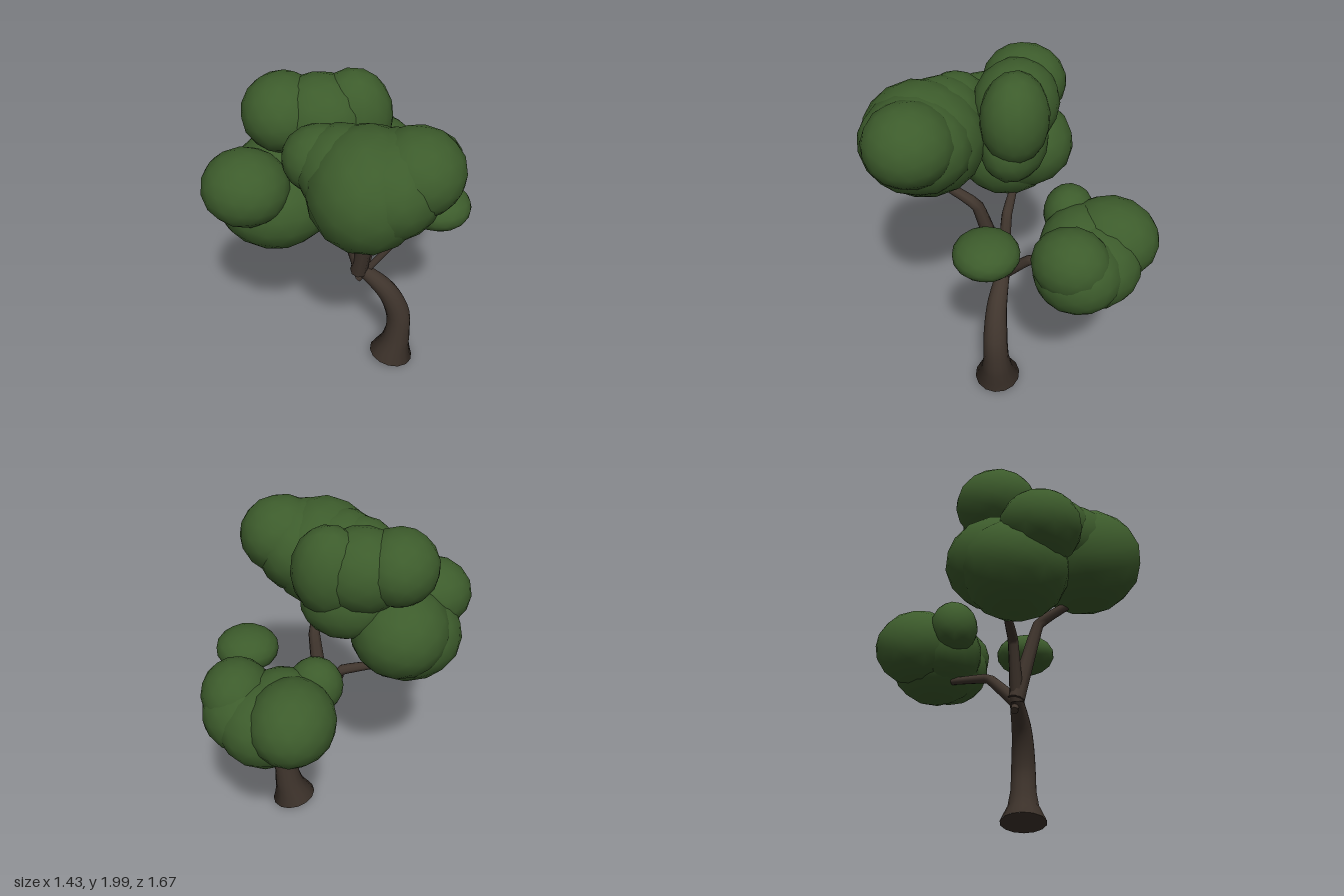
import * as THREE from 'three';

const bark = new THREE.MeshStandardMaterial({ color: 0x41362e });
bark.name = 'bark';
const leaf = new THREE.MeshStandardMaterial({ color: 0x3d5c2c });
leaf.name = 'leaf green';

// Tapered limb: a tube whose rings are rescaled along its length
function limb(name, points, radii, segments, sides, tension) {
  const curve = new THREE.CatmullRomCurve3(
    points.map((p) => new THREE.Vector3(...p)), false, 'catmullrom', tension);
  const geo = new THREE.TubeGeometry(curve, segments, 1, sides, false);
  const pos = geo.attributes.position;
  const v = new THREE.Vector3();
  for (let i = 0; i <= segments; i++) {
    const u = i / segments;
    const centre = curve.getPointAt(u);
    const f = u * (radii.length - 1);
    const k = Math.min(Math.floor(f), radii.length - 2);
    const r = THREE.MathUtils.lerp(radii[k], radii[k + 1], f - k);
    for (let j = 0; j <= sides; j++) {
      const n = i * (sides + 1) + j;
      v.fromBufferAttribute(pos, n).sub(centre).multiplyScalar(r).add(centre);
      pos.setXYZ(n, v.x, v.y, v.z);
    }
  }
  const group = new THREE.Group();
  group.name = name;
  group.add(new THREE.Mesh(geo, bark));
  // End caps
  for (const [u, sign] of [[0, -1], [1, 1]]) {
    const r = u ? radii[radii.length - 1] : radii[0];
    const cap = new THREE.Mesh(new THREE.CircleGeometry(r, sides), bark);
    cap.name = name + 'Cap';
    cap.position.copy(curve.getPointAt(u));
    cap.quaternion.setFromUnitVectors(
      new THREE.Vector3(0, 0, 1), curve.getTangentAt(u).multiplyScalar(sign));
    group.add(cap);
  }
  return group;
}

// Leaf clump: a faceted ball, turned for variety and then stretched
function clump(name, [x, y, z, rx, ry, rz], index) {
  const geo = new THREE.IcosahedronGeometry(1.02, 2);
  geo.rotateX(index * 1.3);
  geo.rotateY(index * 0.9);
  geo.scale(rx, ry, rz);
  const mesh = new THREE.Mesh(geo, leaf);
  mesh.name = name;
  mesh.position.set(x, y, z);
  return mesh;
}

export function createModel() {
  const tree = new THREE.Group();
  tree.name = 'tree';

  // Curved trunk with a flared, slanted foot
  tree.add(limb('trunk',
    [[0.294, 0.04, 0.045], [0.327, 0.2, 0.038], [0.327, 0.38, 0.04], [0.25, 0.57, 0.055], [0.09, 0.735, 0.065]],
    [0.137, 0.093, 0.077, 0.074, 0.071, 0.065, 0.058, 0.048, 0.037], 16, 14, 0.5));

  // Branches, each with one elbow
  const branches = {
    frontBranch: [[[0.085, 0.71, 0.07], [0.172, 1.22, 0.19], [0.185, 1.37, 0.46]], [0.052, 0.046, 0.04, 0.03, 0.025]],
    leftmostBranch: [[[0.1, 0.7, 0.07], [-0.01, 1.05, 0.08], [-0.3, 1.12, 0.12]], [0.045, 0.035, 0.03, 0.02]],
    backBranch: [[[0.1, 0.7, 0.065], [0.15, 0.89, -0.12], [0.17, 0.91, -0.36]], [0.04, 0.034, 0.028, 0.022]],
    sideBranch: [[[0.08, 0.64, 0.06], [0.3, 0.93, 0.03], [0.56, 1.1, 0]], [0.024, 0.021, 0.018, 0.012]],
  };
  for (const [name, [points, radii]] of Object.entries(branches)) {
    tree.add(limb(name, points, radii, 16, 8, 0.1));
  }

  // Foliage clumps: centre x, y, z then radii x, y, z
  const foliage = {
    frontFoliage: [
      [0.18, 1.605, 0.49, 0.31, 0.32, 0.34],
      [0.3, 1.64, 0.48, 0.27, 0.27, 0.31],
      [0.42, 1.71, 0.46, 0.245, 0.225, 0.245],
      [0.05, 1.67, 0.43, 0.24, 0.23, 0.24],
      [-0.07, 1.7, 0.4, 0.2, 0.18, 0.18],
    ],
    crownFoliage: [
      [-0.33, 1.77, 0.08, 0.22, 0.21, 0.235],
      [-0.13, 1.74, 0.06, 0.26, 0.24, 0.235],
      [0.04, 1.74, 0.01, 0.21, 0.26, 0.185],
      [-0.04, 1.54, 0.04, 0.25, 0.21, 0.18],
    ],
    lowerFoliage: [
      [-0.48, 1.47, 0.38, 0.235, 0.205, 0.225],
      [-0.35, 1.36, 0.1, 0.28, 0.26, 0.3],
      [-0.37, 1.29, 0.2, 0.32, 0.27, 0.3],
    ],
    backFoliage: [
      [0.12, 1.14, -0.57, 0.235, 0.23, 0.265],
      [0.28, 1.07, -0.51, 0.27, 0.235, 0.27],
      [0.42, 1.1, -0.47, 0.22, 0.22, 0.24],
      [0.46, 1.19, -0.44, 0.19, 0.19, 0.21],
      [0.2, 1.12, -0.42, 0.24, 0.22, 0.22],
      [0.05, 1.21, -0.31, 0.15, 0.16, 0.14],
    ],
    sideFoliage: [[0.53, 1.19, 0.005, 0.18, 0.12, 0.18]],
  };
  let index = 0;
  for (const [name, clumps] of Object.entries(foliage)) {
    const group = new THREE.Group();
    group.name = name;
    for (const c of clumps) group.add(clump(name + 'Clump', c, index++));
    tree.add(group);
  }
  return tree;
}
